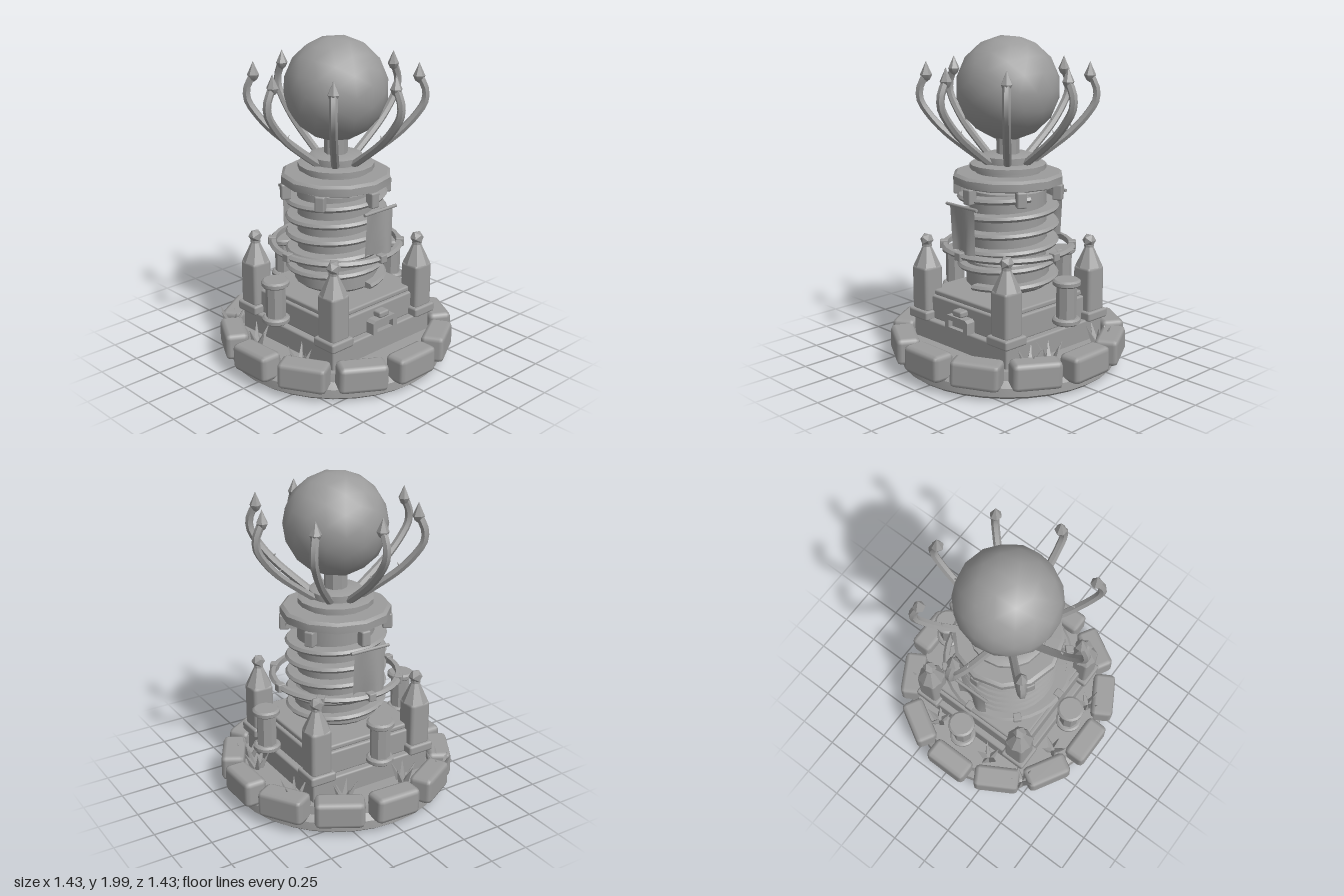
import * as THREE from 'three';
import { toCreasedNormals } from 'three/addons/utils/BufferGeometryUtils.js';
import { RoundedBoxGeometry } from 'three/addons/geometries/RoundedBoxGeometry.js';

export function createModel() {
  const model = new THREE.Group();
  const stone = new THREE.MeshStandardMaterial({ color: 0x9c9c9c });
  stone.name = 'stoneGrey';
  stone.side = THREE.DoubleSide;

  const add = (name, geo, x = 0, y = 0, z = 0, parent = model) => {
    const mesh = new THREE.Mesh(geo, stone);
    mesh.name = name;
    mesh.position.set(x, y, z);
    parent.add(mesh);
    return mesh;
  };
  const crease = (geo, angle = 0.6) => toCreasedNormals(geo, angle);
  const lathe = (points, sides) =>
    crease(new THREE.LatheGeometry(points.map(([r, y]) => new THREE.Vector2(r, y)), sides));
  // Vertical drum from y0 to y1
  const drum = (name, r0, r1, y0, y1, sides, parent = model) =>
    add(name, crease(new THREE.CylinderGeometry(r1, r0, y1 - y0, sides)), 0, (y0 + y1) / 2, 0, parent);
  const block = (name, w, h, d, x, y, z, r = 0.012, parent = model) =>
    add(name, new RoundedBoxGeometry(w, h, d, 1, r), x, y, z, parent);
  // Repeats a part around the y axis, built facing +z
  const around = (name, count, build) => {
    for (let i = 0; i < count; i++) {
      const g = new THREE.Group();
      g.name = name;
      g.rotation.y = (i / count) * Math.PI * 2;
      build(g, i);
      model.add(g);
    }
  };

  // Round base with a ring of stones
  add('base', lathe([[0, 0], [0.64, 0], [0.665, 0.02], [0.66, 0.07], [0.62, 0.1], [0.61, 0.15], [0, 0.16]], 32));
  around('rimStone', 12, (g, i) => {
    const s = block('rimStone', 0.295, 0.165, 0.145, 0, 0.147, 0.643, 0.03, g);
    s.rotation.z = 0.03 * Math.sin(i * 5);
  });

  // Square plinth
  block('plinthStep', 0.82, 0.16, 0.82, 0, 0.2, 0);
  block('plinth', 0.74, 0.15, 0.74, 0, 0.35, 0);
  block('plinthCap', 0.7, 0.035, 0.7, 0, 0.438, 0);

  // Little doorway on the front
  const frame = new THREE.Shape();
  [[-0.1, 0], [-0.1, 0.07], [-0.08, 0.085], [0.08, 0.085], [0.1, 0.07], [0.1, 0]].forEach(([x, y], i) =>
    i ? frame.lineTo(x, y) : frame.moveTo(x, y));
  const hole = new THREE.Path();
  hole.moveTo(-0.065, 0.01).lineTo(0.065, 0.01).lineTo(0.065, 0.055).lineTo(-0.065, 0.055);
  frame.holes.push(hole);
  add('doorFrame', new THREE.ExtrudeGeometry(frame, { depth: 0.07, bevelEnabled: false }), 0, 0.28, 0.36);
  block('door', 0.14, 0.06, 0.04, 0, 0.315, 0.38, 0.005);
  block('doorKeystone', 0.08, 0.04, 0.07, 0, 0.385, 0.39);

  // Corner turrets
  for (const x of [-0.35, 0.35]) for (const z of [-0.35, 0.35]) {
    const g = new THREE.Group();
    g.name = 'turret';
    g.position.set(x, 0, z);
    model.add(g);
    block('turretFoot', 0.17, 0.06, 0.17, 0, 0.3, 0, 0.014, g);
    block('turretShaft', 0.138, 0.29, 0.138, 0, 0.46, 0, 0.022, g);
    drum('turretRoof', 0.083, 0.022, 0.6, 0.73, 8, g);
    drum('turretNeck', 0.03, 0.03, 0.72, 0.735, 8, g);
    add('turretFinial', crease(new THREE.IcosahedronGeometry(0.043, 0)), 0, 0.76, 0, g);
  }

  // Short columns on the left, right and back
  for (const [x, z] of [[0.49, 0], [-0.49, 0], [0, -0.49]]) {
    const g = new THREE.Group();
    g.name = 'sideColumn';
    g.position.set(x, 0, z);
    model.add(g);
    drum('columnShaft', 0.06, 0.06, 0.37, 0.6, 8, g);
    const cap = [[0, 0], [0.07, 0], [0.083, 0.01], [0.083, 0.03], [0.07, 0.04], [0, 0.04]];
    for (const y of [0.35, 0.582]) add('columnCap', lathe(cap, 16), 0, y, 0, g);
  }

  // Central tower
  drum('towerFoot', 0.08, 0.08, 0.44, 0.5, 8);
  add('towerBody', lathe([[0, 0.49], [0.23, 0.49], [0.255, 0.51], [0.255, 0.66], [0.235, 0.68],
    [0.235, 1.09], [0.21, 1.1], [0.21, 1.13], [0, 1.13]], 20));
  add('collar', lathe([[0, 1.12], [0.31, 1.12], [0.335, 1.13], [0.335, 1.175], [0.315, 1.19], [0, 1.19]], 12));
  add('crownBase', lathe([[0, 1.18], [0.2, 1.18], [0.2, 1.205], [0.23, 1.21], [0.23, 1.24], [0.19, 1.25],
    [0.16, 1.25], [0.16, 1.29], [0.13, 1.3], [0, 1.3]], 16));
  around('collarBracket', 6, (g) => block('collarBracket', 0.06, 0.095, 0.06, 0, 1.08, 0.31, 0.01, g));

  // Spiral rail wound around the tower
  const turns = 5.2, steps = 150, pos = [], index = [];
  for (let i = 0; i <= steps; i++) {
    const t = i / steps, a = t * turns * Math.PI * 2, y = 0.5 + t * 0.55;
    for (const [r, h] of [[0.235, 0], [0.298, 0.006], [0.31, 0.022], [0.298, 0.038], [0.235, 0.042]])
      pos.push(r * Math.sin(a), y + h, r * Math.cos(a));
    if (i < steps) for (let k = 0; k < 5; k++) {
      const p = i * 5 + k, q = i * 5 + ((k + 1) % 5);
      index.push(p, p + 5, q, q, p + 5, q + 5);
    }
  }
  index.push(0, 1, 2, 0, 2, 3, 0, 3, 4);
  const e = steps * 5;
  index.push(e, e + 2, e + 1, e, e + 3, e + 2, e, e + 4, e + 3);
  const rail = new THREE.BufferGeometry();
  rail.setAttribute('position', new THREE.Float32BufferAttribute(pos, 3));
  rail.setIndex(index);
  add('spiralRail', crease(rail, 0.4));

  // Hoop with clips
  add('hoop', lathe([[0.37, 0.718], [0.395, 0.718], [0.41, 0.735], [0.395, 0.752], [0.37, 0.752], [0.37, 0.718]], 32));
  around('hoopClip', 8, (g) => block('hoopClip', 0.05, 0.05, 0.05, 0, 0.735, 0.39, 0.006, g));

  // Hanging banners, front and back, rippling more towards the hem
  around('banner', 2, (g) => {
    const cloth = new THREE.PlaneGeometry(0.21, 0.28, 10, 6);
    const p = cloth.attributes.position;
    for (let i = 0; i < p.count; i++) {
      const drop = (0.14 - p.getY(i)) / 0.28;
      p.setZ(i, -0.012 * drop + 0.03 * drop * Math.sin(p.getX(i) * 28));
    }
    cloth.computeVertexNormals();
    add('bannerCloth', cloth, 0, 0.89, 0.372, g);
    const rod = add('bannerRod', new THREE.CylinderGeometry(0.01, 0.01, 0.26, 8), 0, 1.03, 0.375, g);
    rod.rotation.z = Math.PI / 2;
  });

  // Crown of eight curved prongs with pointed tips
  const curve = new THREE.CatmullRomCurve3([[0.12, 1.235], [0.25, 1.33], [0.38, 1.435], [0.47, 1.535],
    [0.52, 1.62], [0.52, 1.69], [0.485, 1.765]].map(([r, y]) => new THREE.Vector3(0, y, r)));
  const prong = crease(new THREE.TubeGeometry(curve, 18, 0.024, 6));
  const tip = lathe([[0, -0.035], [0.022, -0.02], [0.036, 0.01], [0.015, 0.055], [0, 0.09]], 6);
  const nub = crease(new THREE.ConeGeometry(0.012, 0.04, 5));
  around('prong', 8, (g) => {
    add('prongArm', prong, 0, 0, 0, g);
    add('prongTip', tip, 0, 1.757, 0.482, g);
    add('prongThorn', nub, 0, 1.465, 0.375, g).rotation.x = -0.7;
  });

  // Great orb on its stem
  drum('orbStem', 0.07, 0.07, 1.28, 1.42, 8);
  add('orb', new THREE.IcosahedronGeometry(0.31, 2), 0, 1.69, 0);

  // Grass tufts between the stones and the plinth
  const blade = crease(new THREE.ConeGeometry(0.022, 0.13, 4).translate(0, 0.065, 0));
  const spots = [[-0.5, -0.17], [-0.5, 0.22], [-0.19, -0.47], [0.23, -0.46], [0.49, 0.14], [0.47, 0.29],
    [-0.46, -0.47], [0.48, -0.3]];
  spots.forEach(([x, z], s) => {
    for (let k = 0; k < 5; k++) {
      const a = k * 1.257 + s;
      const b = add('grassBlade', blade, x + 0.025 * Math.sin(a), 0.15, z + 0.025 * Math.cos(a));
      b.rotation.set(0.45 * Math.cos(a), 0, -0.45 * Math.sin(a));
      b.scale.y = 0.8 + 0.25 * Math.abs(Math.sin(s * 3 + k * 2));
    }
  });
  return model;
}
